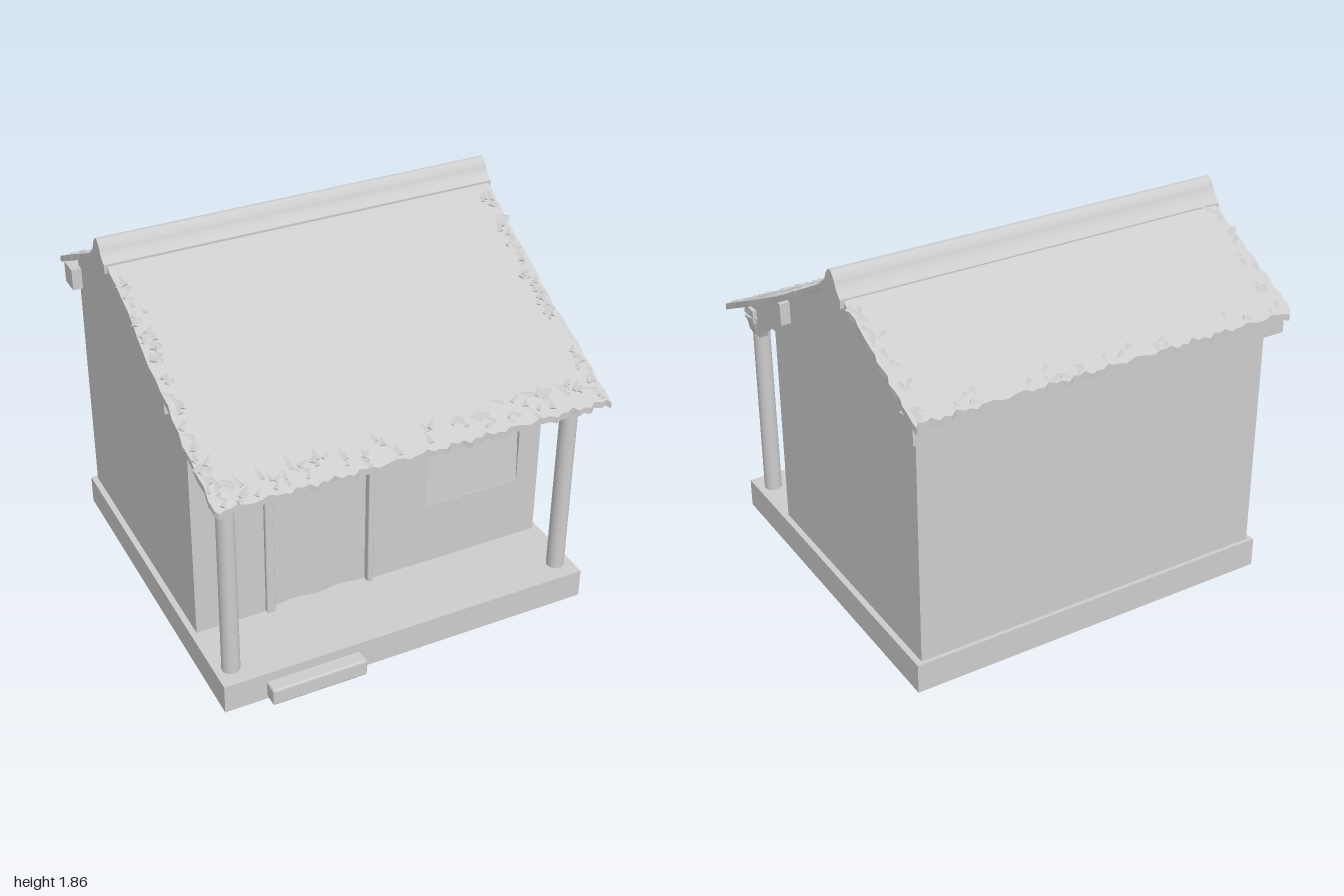
import * as THREE from 'three';
import { mergeGeometries, toCreasedNormals } from 'three/addons/utils/BufferGeometryUtils.js';
import { RoundedBoxGeometry } from 'three/addons/geometries/RoundedBoxGeometry.js';

export function createModel() {
  const house = new THREE.Group();
  house.name = 'house';
  const plaster = new THREE.MeshStandardMaterial({ color: 0xcccccc, side: THREE.DoubleSide });
  plaster.name = 'pale grey';

  let seed = 7;
  const rand = () => (seed = (seed * 16807) % 2147483647) / 2147483647;

  const add = (name, geometry) => {
    const mesh = new THREE.Mesh(geometry, plaster);
    mesh.name = name;
    house.add(mesh);
    return mesh;
  };
  // Box given by its limits on each axis
  const box = (name, [x0, x1], [y0, y1], [z0, z1], r = 0) => {
    const size = [x1 - x0, y1 - y0, z1 - z0];
    const g = r ? new RoundedBoxGeometry(...size, 2, r) : new THREE.BoxGeometry(...size);
    return add(name, g.translate((x0 + x1) / 2, (y0 + y1) / 2, (z0 + z1) / 2));
  };
  const outline = (points) => new THREE.Shape(points.map((p) => new THREE.Vector2(...p)));
  const rect = (x0, x1, y0, y1) => outline([[x0, y0], [x1, y0], [x1, y1], [x0, y1]]);
  const extrude = (shape, depth) =>
    new THREE.ExtrudeGeometry(shape, { depth, bevelEnabled: false, curveSegments: 8 });
  // Profile in (z, y), swept along x and centred on x
  const sweep = (name, shape, width, x = 0) =>
    add(name, extrude(shape, width).rotateY(-Math.PI / 2).translate(x + width / 2, 0, 0));

  // Plinth: thin-sided and hollow underneath
  const rim = rect(-0.95, 0.95, -0.92, 0.88);
  rim.holes.push(rect(-0.935, 0.935, -0.905, 0.865));
  add('plinthSides', extrude(rim, 0.13).rotateX(-Math.PI / 2));
  box('porchFloor', [-0.95, 0.95], [0.125, 0.15], [-0.88, 0.92]);
  box('frontStep', [-0.74, -0.26], [0.01, 0.1], [0.9, 0.99], 0.012);

  // House body with gable ends
  sweep('houseBody', outline([
    [0.48, 0.15], [0.48, 1.38], [-0.2, 1.74], [-0.29, 1.76], [-0.37, 1.73], [-0.86, 1.48], [-0.86, 0.15],
  ]), 1.84);

  // Front wall skin with door and window openings
  const front = rect(-0.92, 0.92, 0.15, 1.36);
  front.holes.push(rect(-0.53, -0.03, 0.15, 1.0), rect(0.29, 0.8, 0.49, 0.96));
  add('frontWall', extrude(front, 0.04).translate(0, 0, 0.48));

  // Window infill, leaning back toward its foot
  const pane = new THREE.PlaneGeometry(0.51, 0.47, 1, 1);
  pane.rotateX(-0.06).translate(0.545, 0.725, 0.503);
  add('windowPanel', pane);

  // Door leaf with gentle folds, and its frame
  const door = new THREE.PlaneGeometry(0.5, 0.85, 24, 1);
  const dp = door.attributes.position;
  for (let i = 0; i < dp.count; i++) dp.setZ(i, 0.008 * Math.cos(dp.getX(i) * 26));
  door.computeVertexNormals();
  add('door', door.translate(-0.28, 0.575, 0.495));
  box('doorJambLeft', [-0.03, 0], [0.15, 1.0], [0.5, 0.54], 0.008);
  box('doorJambRight', [-0.565, -0.52], [0.15, 1.0], [0.5, 0.54], 0.008);
  box('doorLintel', [-0.6, 0.005], [0.985, 1.045], [0.5, 0.57], 0.012);

  // Porch posts, capitals and side braces
  for (const side of [-1, 1]) {
    const post = add('porchPost', new THREE.CylinderGeometry(0.042, 0.044, 0.97, 20));
    post.position.set(side * 0.87, 0.635, 0.81);
    const capital = add('postCapital', new THREE.CylinderGeometry(0.075, 0.045, 0.1, 20));
    capital.position.set(side * 0.87, 1.11, 0.81);
    sweep('porchBrace', outline([
      [0.9, 1.14], [0.86, 1.06], [0.74, 1.06], [0.72, 1.1], [0.58, 1.18],
      [0.5, 1.18], [0.5, 1.37], [0.9, 1.18],
    ]), 0.04, side * 0.89);
  }

  // Roof beams
  box('porchBeam', [-0.93, 0.93], [1.13, 1.2], [0.76, 0.86]);
  box('frontBeam', [-0.97, 0.97], [1.32, 1.43], [0.33, 0.405]);
  box('backBeam', [-0.97, 0.97], [1.32, 1.43], [-0.93, -0.82]);

  // Roof slopes follow a profile of [z, y] from eave to ridge
  const frontLine = [[0.98, 1.165], [0.33, 1.475], [-0.2, 1.765], [-0.29, 1.79]];
  const backLine = [[-0.98, 1.435], [-0.37, 1.75], [-0.29, 1.79]];
  const along = (line, z) => {
    for (let i = 0; i < line.length - 1; i++) {
      const [a, b] = [line[i], line[i + 1]];
      const t = (z - a[0]) / (b[0] - a[0]);
      if (t <= 1 || i === line.length - 2) return a[1] + t * (b[1] - a[1]);
    }
  };
  const roofSlope = (name, line, tuftCount) => {
    const eave = line[0][0];
    const ridge = line[line.length - 1][0];
    const g = new THREE.BoxGeometry(1.98, 1, 1, 66, 1, 20);
    const p = g.attributes.position;
    for (let i = 0; i < p.count; i++) {
      let x = p.getX(i);
      const u = eave > 0 ? 0.5 - p.getZ(i) : 0.5 + p.getZ(i); // 0 at the eave
      let z = eave + u * (ridge - eave);
      const wave = Math.sin(x * 71) * Math.sin(x * 29 + 1);
      // Ragged outline along eave and verges
      if (u < 0.01) z -= Math.sign(eave) * 0.012 * (1 + wave);
      if (Math.abs(x) > 0.98) x -= Math.sign(x) * 0.008 * (1 + Math.sin(z * 83) * Math.sin(z * 31));
      p.setXYZ(i, x, along(line, z) - (p.getY(i) < 0 ? 0.032 : 0) + 0.003 * wave * (1 - u), z);
    }
    add(name, toCreasedNormals(g, 0.7));

    // Frayed tufts lying along the edges
    const slope = Math.atan2(line[1][1] - line[0][1], Math.abs(line[1][0] - eave));
    const tufts = [];
    for (let i = 0; i < tuftCount; i++) {
      const onEave = i % 5 < 2;
      const x = onEave ? (rand() - 0.5) * 1.86 : (i % 2 ? 1 : -1) * (0.91 + rand() * 0.055);
      const u = onEave ? 0.03 + rand() * 0.09 : 0.04 + rand() * 0.84;
      const z = eave + u * (ridge - eave);
      const t = new THREE.ConeGeometry(0.012 + rand() * 0.012, 0.04 + rand() * 0.04, 3);
      t.scale(1, 1, 0.35).rotateX(-Math.PI / 2).rotateY((rand() - 0.5) * 2.4);
      t.rotateX(eave > 0 ? slope : -slope).translate(x, along(line, z) + 0.003, z);
      tufts.push(t);
    }
    add(name + 'Tufts', toCreasedNormals(mergeGeometries(tufts), 0.1));
  };
  roofSlope('frontRoof', frontLine, 170);
  roofSlope('backRoof', backLine, 50);

  // Rounded ridge cap
  const cap = new THREE.Shape();
  cap.moveTo(-0.375, 1.715);
  cap.lineTo(-0.375, 1.755);
  cap.quadraticCurveTo(-0.335, 1.79, -0.325, 1.825);
  cap.quadraticCurveTo(-0.285, 1.9, -0.245, 1.825);
  cap.quadraticCurveTo(-0.235, 1.79, -0.195, 1.77);
  cap.lineTo(-0.195, 1.725);
  const ridgeCap = sweep('ridgeCap', cap, 2);
  ridgeCap.geometry = toCreasedNormals(ridgeCap.geometry, 0.8);

  return house;
}
